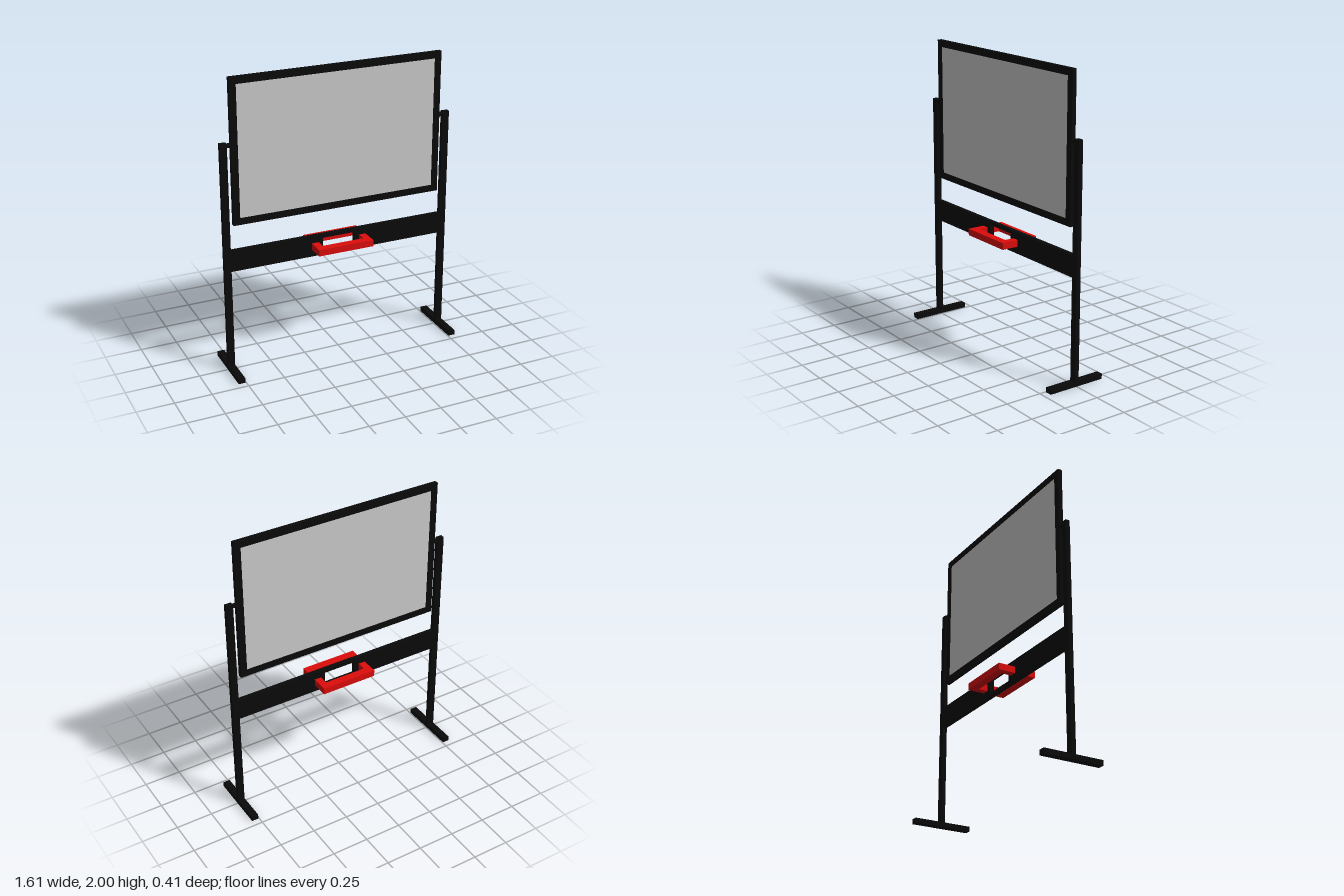
import * as THREE from 'three';

const DEPTH = 0.03;
const black = new THREE.MeshStandardMaterial({ color: 0x0a0a0a });
const red = new THREE.MeshStandardMaterial({ color: 0xdd0c0c });
const grey = new THREE.MeshStandardMaterial({ color: 0xcccccc });

function add(group, name, geometry, material, x = 0, y = 0, z = 0) {
  const mesh = new THREE.Mesh(geometry, material);
  mesh.name = name;
  mesh.position.set(x, y, z);
  group.add(mesh);
  return mesh;
}

// Rectangular slab with a rectangular opening, centred on all axes
function ring(w, h, holeW, holeH, depth) {
  const rect = (path, a, b) => path
    .moveTo(-a / 2, -b / 2).lineTo(a / 2, -b / 2)
    .lineTo(a / 2, b / 2).lineTo(-a / 2, b / 2).closePath();
  const shape = new THREE.Shape();
  rect(shape, w, h);
  const hole = new THREE.Path();
  rect(hole, holeW, holeH);
  shape.holes.push(hole);
  return new THREE.ExtrudeGeometry(shape, { depth, bevelEnabled: false })
    .translate(0, 0, -depth / 2);
}

export function createModel() {
  const model = new THREE.Group();
  model.name = 'boardStand';

  // Tilting board: frame and two-sided writing panel
  add(model, 'boardFrame', ring(1.46, 0.97, 1.37, 0.88, DEPTH), black, 0, 1.515);
  add(model, 'boardPanel', new THREE.BoxGeometry(1.37, 0.88, 0.02), grey, 0, 1.515);

  // Crossbeam with its slot
  add(model, 'crossbeam', ring(1.52, 0.145, 0.23, 0.095, DEPTH), black, 0, 0.787);

  // Tray loop passing through the beam, open in the middle
  const tray = add(model, 'trayLoop', ring(0.39, 0.268, 0.294, 0.16, 0.045), red, 0, 0.787);
  tray.rotation.x = -Math.PI / 2;

  // Post, foot and pivot on each side
  for (const [side, s] of [['left', 1], ['right', -1]]) {
    add(model, side + 'Post', new THREE.BoxGeometry(0.046, 1.585, DEPTH), black, s * 0.779, 0.7925);
    add(model, side + 'Foot', new THREE.BoxGeometry(0.047, 0.034, 0.41), black, s * 0.779, 0.017);
    const pivot = add(model, side + 'Pivot',
      new THREE.CylinderGeometry(0.015, 0.015, 0.05, 16), black, s * 0.745, 1.566);
    pivot.rotation.z = Math.PI / 2;
  }
  return model;
}
